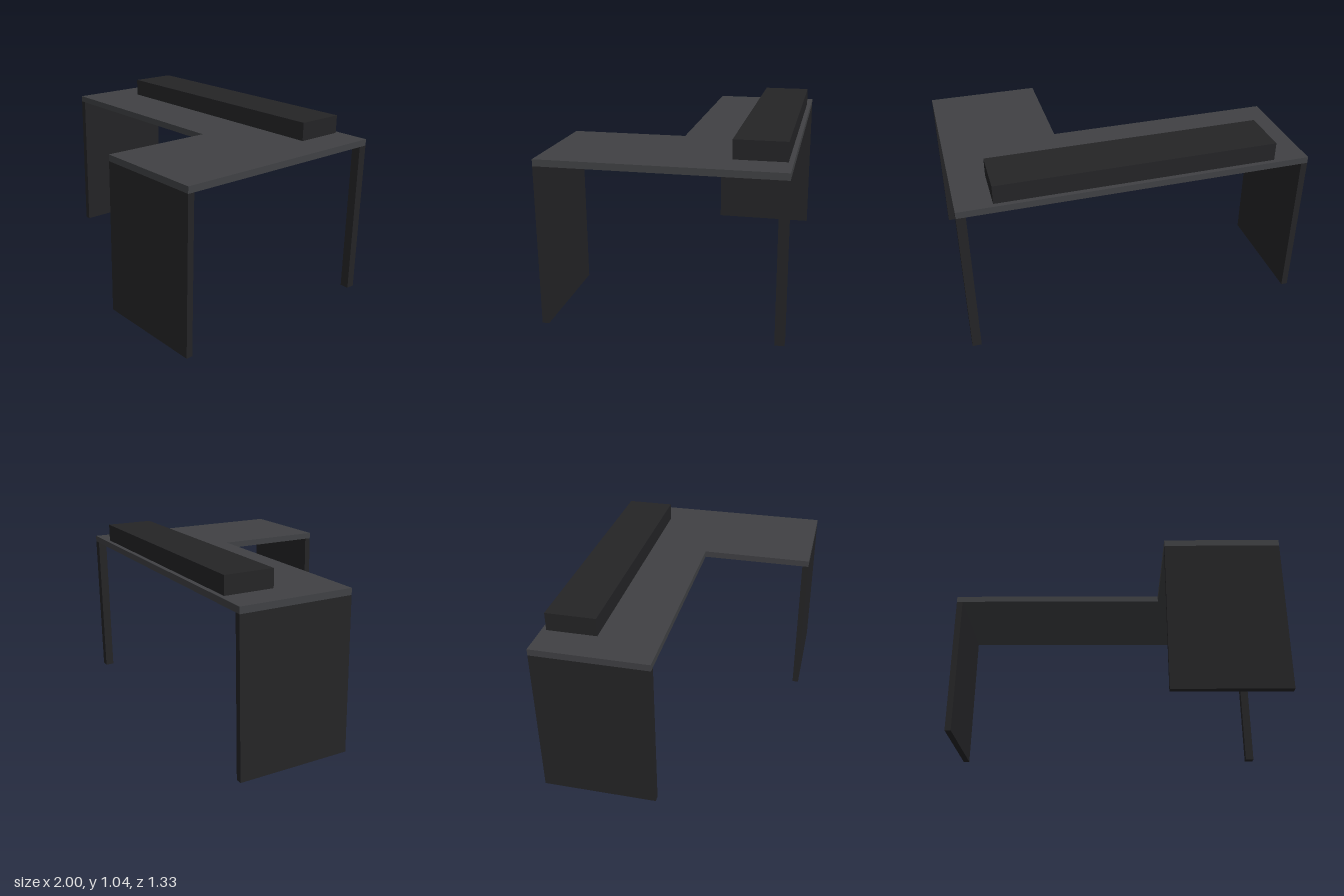
import * as THREE from 'three';

export function createModel() {
  const model = new THREE.Group();
  const topMaterial = new THREE.MeshStandardMaterial({ color: 0x404144 });
  const darkMaterial = new THREE.MeshStandardMaterial({ color: 0x242426 });
  const depth = 0.667, underside = 0.898, surface = 0.936;

  // Box given by its minimum and maximum corners
  function addBox(name, min, max) {
    const size = max.map((v, i) => v - min[i]);
    const mesh = new THREE.Mesh(new THREE.BoxGeometry(...size), darkMaterial);
    mesh.position.set(...max.map((v, i) => (v + min[i]) / 2));
    mesh.name = name;
    model.add(mesh);
  }

  // L-shaped desktop, drawn in plan (x, -z) and laid flat
  const plan = [[-1, 0], [0.333, 0], [0.333, -depth], [1, -depth], [1, depth], [-1, depth]];
  const shape = new THREE.Shape(plan.map(([x, y]) => new THREE.Vector2(x, y)));
  const slab = new THREE.ExtrudeGeometry(shape, { depth: surface - underside, bevelEnabled: false });
  slab.rotateX(-Math.PI / 2);
  const desktop = new THREE.Mesh(slab, topMaterial);
  desktop.position.y = underside;
  desktop.name = 'desktop';
  model.add(desktop);

  // Supports: one panel at the end of each wing, a post at the outer corner
  addBox('sidePanel', [-1, 0, -depth], [-0.962, underside, 0]);
  addBox('frontPanel', [0.333, 0, 0.629], [1, underside, depth]);
  addBox('cornerLeg', [0.948, 0, -depth], [1, underside, -0.615]);

  // Raised shelf along the back
  addBox('raisedShelf', [-0.8, surface, -0.64], [0.8, 1.043, -0.35]);

  return model;
}
